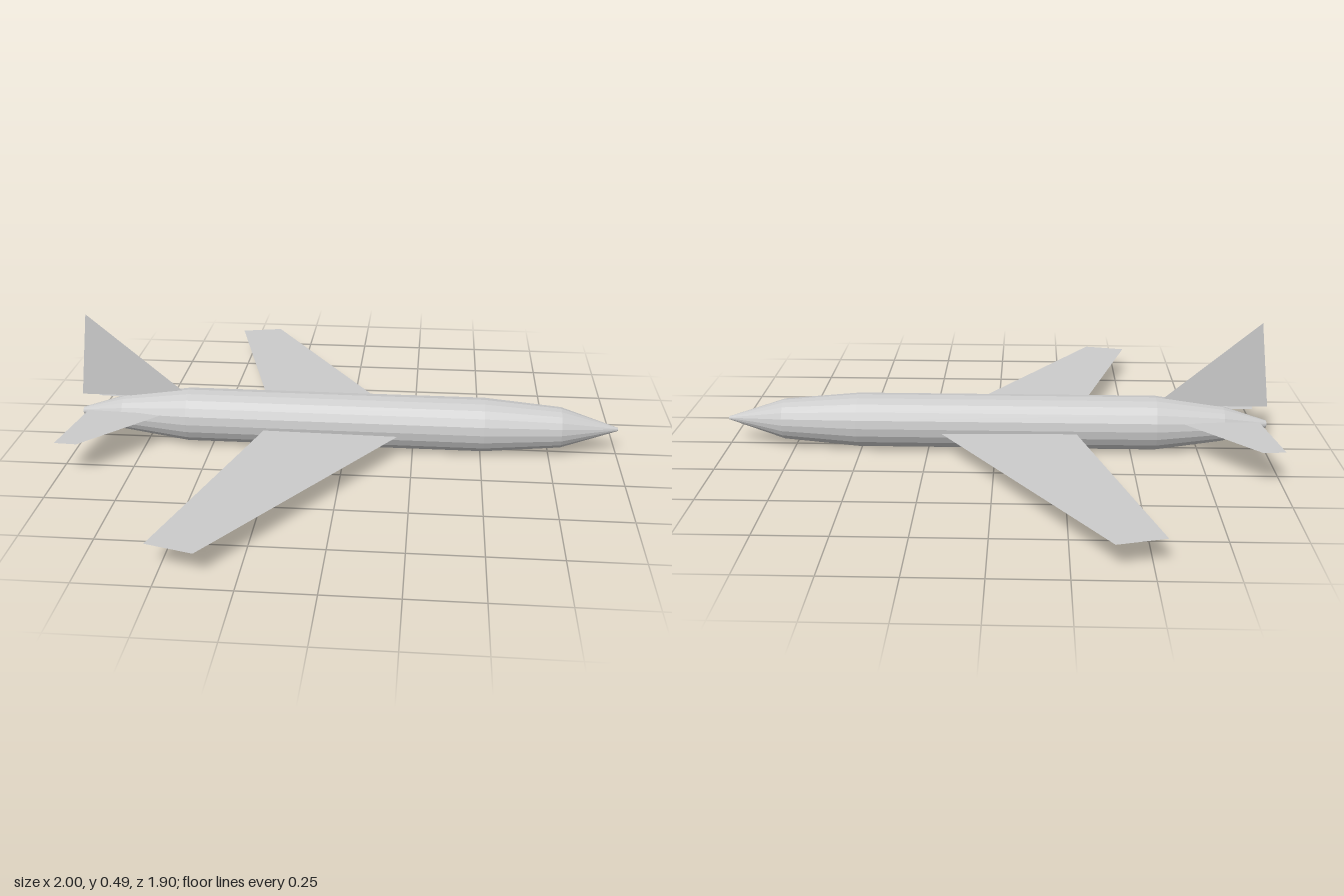
import * as THREE from 'three';

const material = new THREE.MeshStandardMaterial({ color: 0xcccccc, flatShading: true });
const sheet = new THREE.MeshStandardMaterial({ color: 0xcccccc, flatShading: true, side: THREE.DoubleSide });

// Thin flat panel from an outline of [x, height or span] pairs
function panel(name, outline) {
  const shape = new THREE.Shape(outline.map(([x, s]) => new THREE.Vector2(x, s)));
  const mesh = new THREE.Mesh(new THREE.ShapeGeometry(shape), sheet);
  mesh.name = name;
  return mesh;
}

// Horizontal panel on one side, with y falling slightly towards the nose
function sidePanel(name, outline, side, height, slope) {
  const mesh = panel(name, outline);
  const p = mesh.geometry.attributes.position;
  for (let i = 0; i < p.count; i++) {
    const x = p.getX(i);
    p.setXYZ(i, x, height + slope * x, side * p.getY(i));
  }
  mesh.geometry.computeVertexNormals();
  return mesh;
}

export function createModel() {
  const group = new THREE.Group();
  group.name = 'aircraft';

  // Fuselage: turned profile of [x, radius], nose towards +x
  const profile = [
    [-1, 0], [-1, 0.013], [-0.84, 0.064], [-0.59, 0.1],
    [0.51, 0.1], [0.79, 0.075], [1, 0.006], [1, 0],
  ].map(([x, r]) => new THREE.Vector2(r, x));
  const body = new THREE.LatheGeometry(profile, 20);
  body.rotateZ(-Math.PI / 2);
  const fuselage = new THREE.Mesh(body, material);
  fuselage.name = 'fuselage';
  fuselage.position.y = 0.102;
  group.add(fuselage);

  // Swept wings and tailplanes, mirrored about the centreline
  const wing = [[0.2, 0.09], [-0.38, 0.95], [-0.54, 0.91], [-0.295, 0.09]];
  const tail = [[-0.677, 0.068], [-0.92, 0.35], [-1, 0.35], [-0.96, 0.068]];
  for (const [word, side] of [['right', -1], ['left', 1]]) {
    group.add(sidePanel(word + 'Wing', wing, side, 0.088, -0.012));
    group.add(sidePanel(word + 'Tailplane', tail, side, 0.11, -0.026));
  }

  // Upright tail fin
  group.add(panel('tailFin', [[-1, 0.17], [-0.585, 0.17], [-0.96, 0.49]]));
  return group;
}
